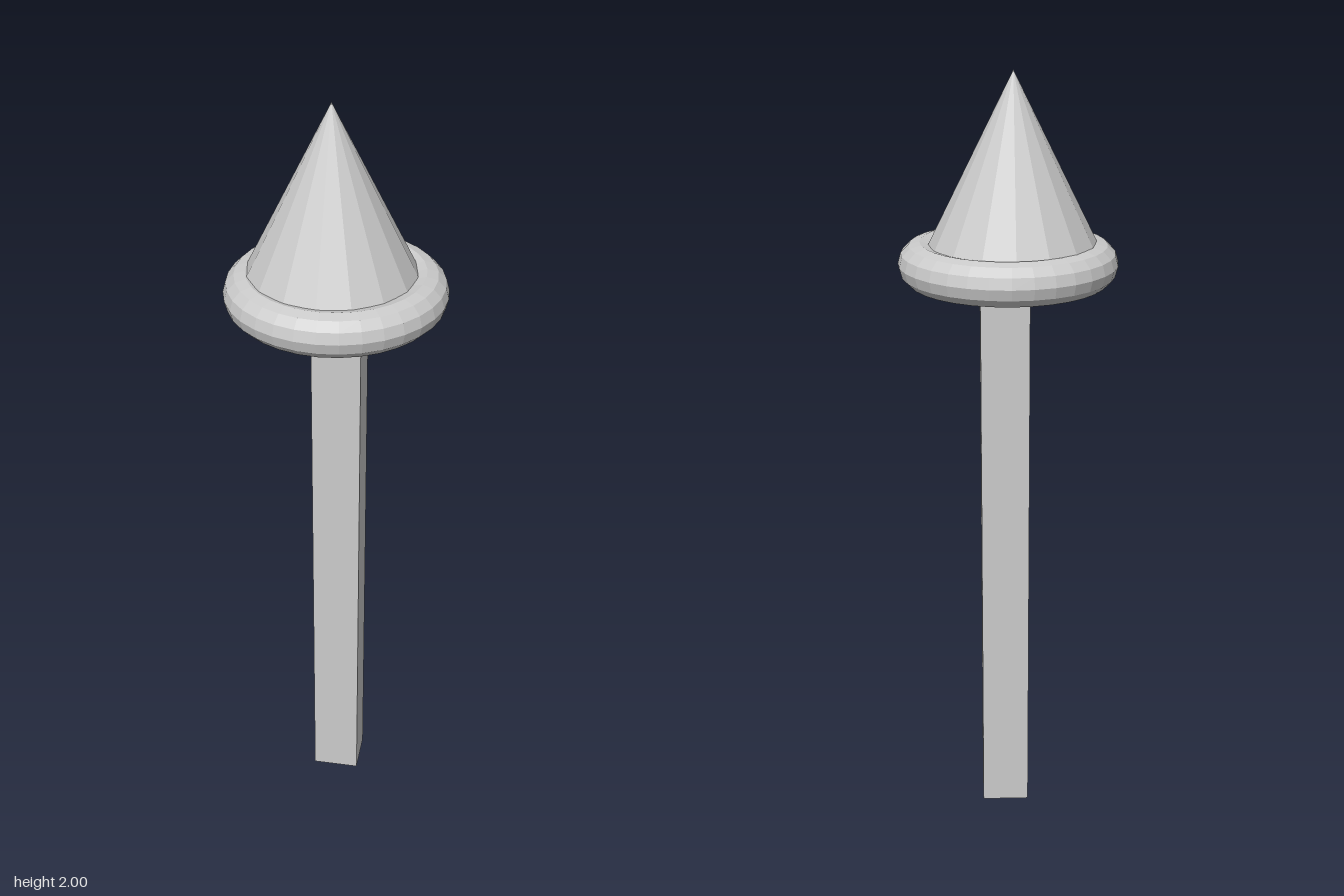
import * as THREE from 'three';

export function createModel() {
  const group = new THREE.Group();
  const material = new THREE.MeshStandardMaterial({ color: 0xcccccc, flatShading: true });

  const add = (name, geometry, x, y, z) => {
    const mesh = new THREE.Mesh(geometry, material);
    mesh.name = name;
    mesh.position.set(x, y, z);
    group.add(mesh);
    return mesh;
  };

  // Square post, slightly off centre, reaching up to the underside of the cone
  const postTop = 1.58;
  add('post', new THREE.BoxGeometry(0.124, postTop, 0.116), 0.009, postTop / 2, 0);

  // Collar ring around the base of the tip
  const collar = new THREE.TorusGeometry(0.22, 0.055, 12, 32).rotateX(Math.PI / 2);
  add('collar', collar, 0, 1.53, 0);

  // Faceted pointed tip, closed underneath and seated in the collar
  const tipBase = 1.576;
  const tipHeight = 2 - tipBase;
  add('tip', new THREE.ConeGeometry(0.212, tipHeight, 16), -0.012, tipBase + tipHeight / 2, -0.007);

  return group;
}
